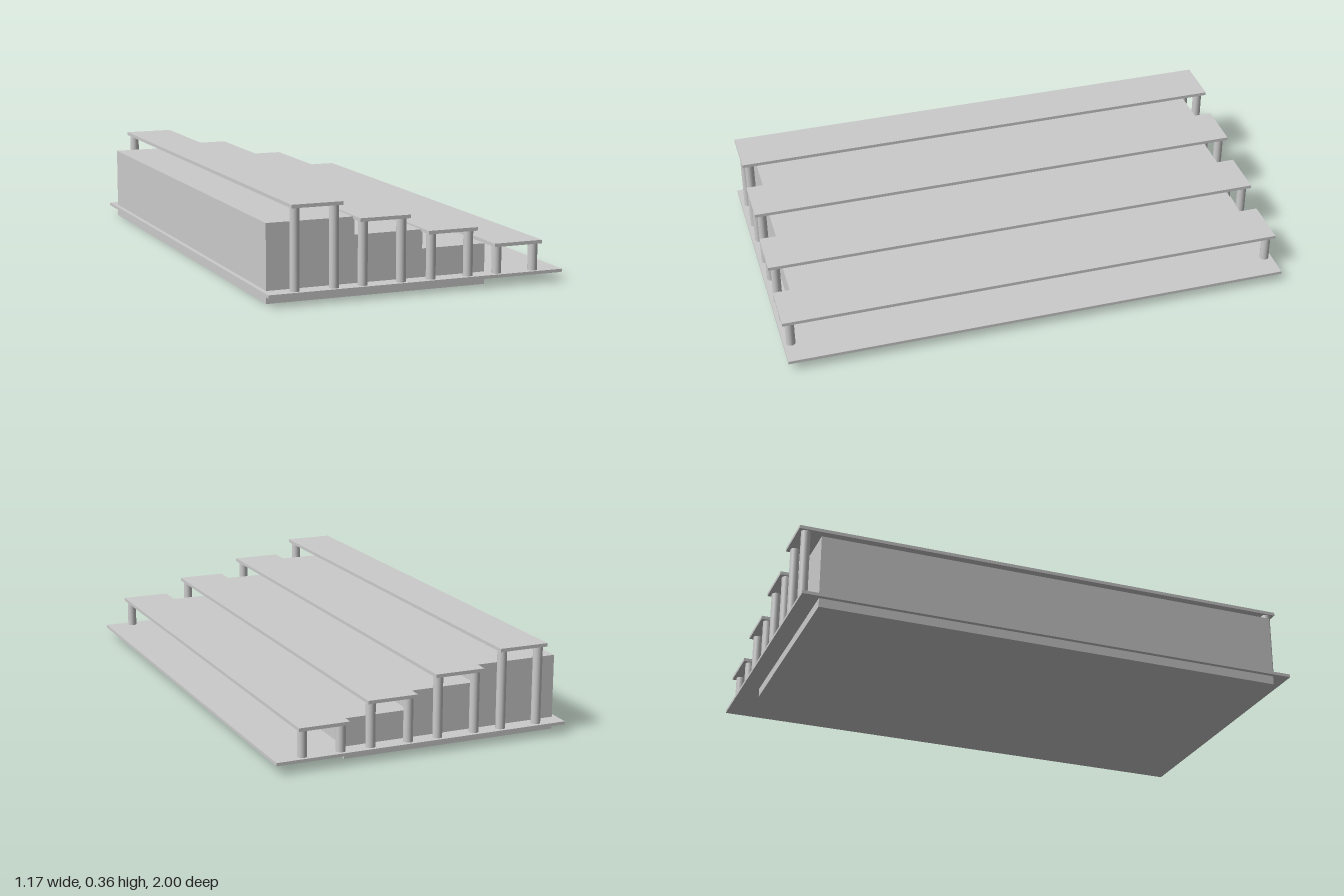
import * as THREE from 'three';

export function createModel() {
  const model = new THREE.Group();
  model.name = 'tieredBenches';
  const material = new THREE.MeshStandardMaterial({ color: 0xcccccc });

  // box given by its lower and upper limits in x and y, and half its depth
  function slab(name, x0, x1, y0, y1, halfZ, parent = model) {
    const mesh = new THREE.Mesh(new THREE.BoxGeometry(x1 - x0, y1 - y0, 2 * halfZ), material);
    mesh.name = name;
    mesh.position.set((x0 + x1) / 2, (y0 + y1) / 2, 0);
    parent.add(mesh);
  }

  // thin floor plate
  const floorTop = 0.047;
  slab('floorPlate', -0.583, 0.583, 0.035, floorTop, 1);

  // stepped block passing through the floor, one extruded profile
  const profile = new THREE.Shape([
    [-0.566, 0], [0.294, 0], [0.294, 0.153], [0.04, 0.153], [0.04, 0.224],
    [-0.228, 0.224], [-0.228, 0.29], [-0.566, 0.29],
  ].map(([x, y]) => new THREE.Vector2(x, y)));
  const depth = 1.865;
  const steps = new THREE.Mesh(
    new THREE.ExtrudeGeometry(profile, { depth, bevelEnabled: false }), material);
  steps.name = 'steppedBlock';
  steps.position.z = -depth / 2;
  model.add(steps);

  // four benches, each a long plank on a pair of posts at both ends
  const thickness = 0.013;
  const benches = [[-0.398, 0.361], [-0.137, 0.295], [0.132, 0.23], [0.399, 0.163]];
  for (const [x, top] of benches) {
    const bench = new THREE.Group();
    bench.name = 'bench';
    slab('seatPlank', x - 0.098, x + 0.098, top - thickness, top, 1, bench);
    const height = top - thickness - floorTop;
    const postGeometry = new THREE.CylinderGeometry(0.018, 0.018, height, 24);
    for (const dx of [-0.075, 0.075]) {
      for (const z of [-0.97, 0.97]) {
        const post = new THREE.Mesh(postGeometry, material);
        post.name = 'post';
        post.position.set(x + dx, floorTop + height / 2, z);
        bench.add(post);
      }
    }
    model.add(bench);
  }
  return model;
}
